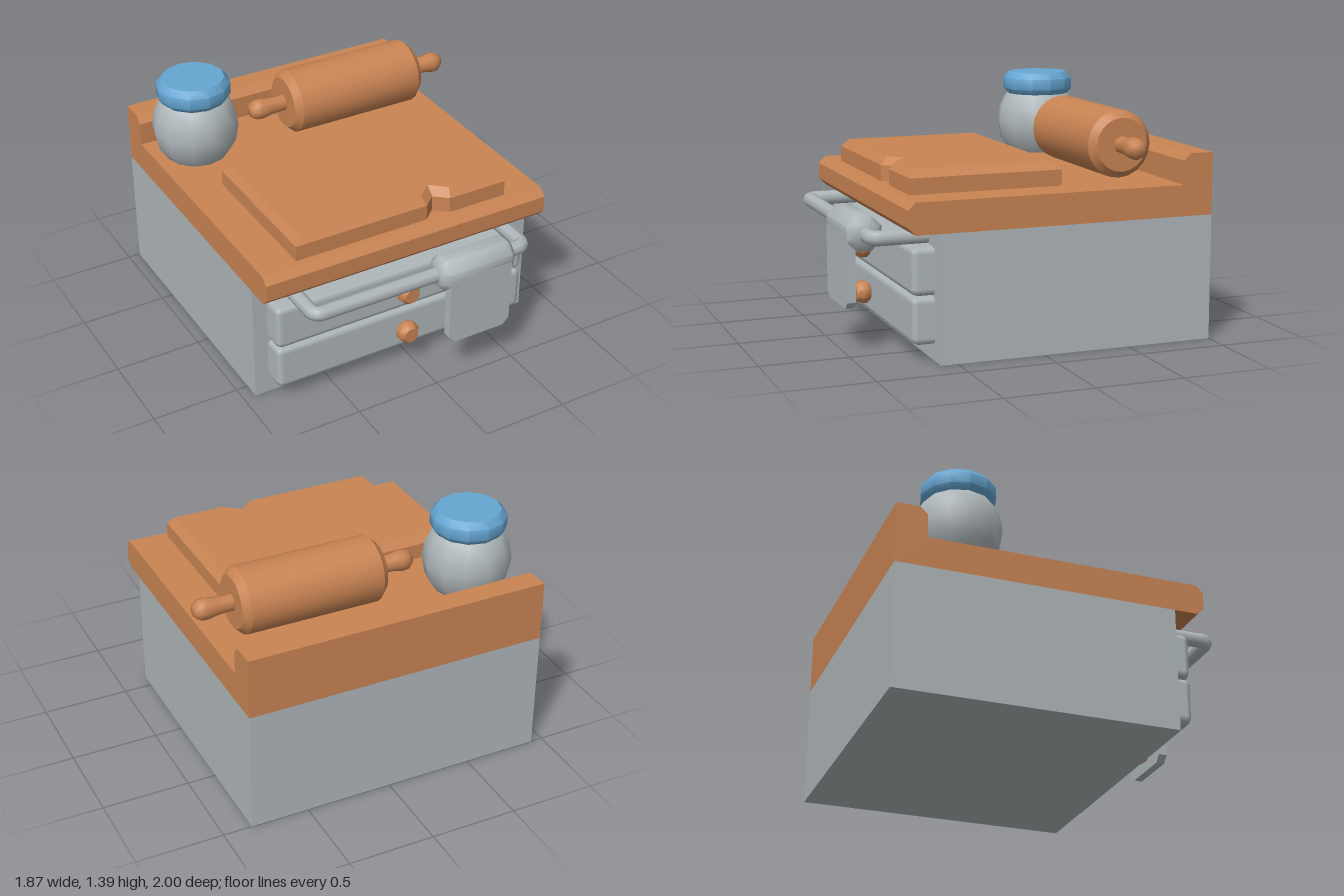
import * as THREE from 'three';
import { toCreasedNormals } from 'three/addons/utils/BufferGeometryUtils.js';
import { RoundedBoxGeometry } from 'three/addons/geometries/RoundedBoxGeometry.js';

const material = (name, color) => {
  const m = new THREE.MeshStandardMaterial({ color });
  m.name = name;
  return m;
};

const shapeOf = (pts) => new THREE.Shape(pts.map(([x, y]) => new THREE.Vector2(x, y)));

// Turned solid along +y, from [radius, height] pairs listed bottom to top
function turned(pts, sides, crease = 0.9, turn = 0) {
  const g = new THREE.LatheGeometry(pts.map(([r, y]) => new THREE.Vector2(r, y)), sides);
  g.rotateY(turn);
  return toCreasedNormals(g, crease);
}

export function createModel() {
  const wood = material('wood', 0xc98453);
  const grey = material('pale grey', 0xafb7ba);
  const blue = material('lid blue', 0x66a6d2);
  const model = new THREE.Group();
  const midX = -0.0475, width = 1.765;

  function add(name, geometry, mat, x = 0, y = 0, z = 0, parent = model) {
    const mesh = new THREE.Mesh(geometry, mat);
    mesh.name = name;
    mesh.position.set(x, y, z);
    parent.add(mesh);
    return mesh;
  }

  // Cabinet
  add('cabinet', new THREE.BoxGeometry(width, 0.71, 1.595), grey, midX, 0.355, -0.2025);

  // Worktop with bevelled front edge and raised back ledge: profile of [-z, y]
  const top = new THREE.ExtrudeGeometry(shapeOf([
    [1, 0.71], [1, 1.06], [0.865, 1.06], [0.825, 1.02], [0.825, 0.885],
    [-0.73, 0.885], [-0.77, 0.845], [-0.77, 0.75], [-0.73, 0.71],
  ]), { depth: width, bevelEnabled: false });
  top.rotateY(Math.PI / 2);
  add('worktop', top, wood, midX - width / 2, 0, 0);

  // Chopping board with a V notch in its front edge: outline of [x, -z]
  const board = new THREE.ExtrudeGeometry(shapeOf([
    [-0.67, -0.65], [0.085, -0.65], [0.175, -0.57], [0.265, -0.65],
    [0.57, -0.65], [0.57, 0.15], [-0.67, 0.15],
  ]), { depth: 0.13, bevelSize: 0.04, bevelThickness: 0.045, bevelSegments: 1 });
  board.rotateX(-Math.PI / 2);
  add('choppingBoard', board, wood, 0, 0.845, 0);

  // Drawers and their knobs
  const knob = turned([
    [0, -0.01], [0.04, -0.01], [0.066, 0.022], [0.066, 0.055], [0.046, 0.085], [0, 0.085],
  ], 8, 0.9, Math.PI / 8);
  knob.rotateX(Math.PI / 2);
  for (const y of [0.2225, 0.49]) {
    add('drawer', new RoundedBoxGeometry(1.59, 0.265, 0.185, 1, 0.038), grey, -0.05, y, 0.6275);
    add('drawerKnob', knob, wood, -0.05, y, 0.72);
  }

  // Towel rail bent around two corners
  const rail = new THREE.CurvePath();
  const v = (x, z) => new THREE.Vector3(x, 0.665, z);
  const [x0, x1, z0, z1, bend] = [-0.712, 0.617, 0.57, 0.897, 0.05];
  rail.add(new THREE.LineCurve3(v(x0, z0), v(x0, z1 - bend)));
  rail.add(new THREE.QuadraticBezierCurve3(v(x0, z1 - bend), v(x0, z1), v(x0 + bend, z1)));
  rail.add(new THREE.LineCurve3(v(x0 + bend, z1), v(x1 - bend, z1)));
  rail.add(new THREE.QuadraticBezierCurve3(v(x1 - bend, z1), v(x1, z1), v(x1, z1 - bend)));
  rail.add(new THREE.LineCurve3(v(x1, z1 - bend), v(x1, z0)));
  add('towelRail', new THREE.TubeGeometry(rail, 120, 0.042, 8), grey);

  // Towel: fold over the rail and hanging sheet
  const fold = turned([
    [0, -0.235], [0.07, -0.235], [0.106, -0.198], [0.106, 0.198], [0.07, 0.235], [0, 0.235],
  ], 8, 0.9, Math.PI / 8);
  fold.rotateZ(-Math.PI / 2);
  add('towelFold', fold, grey, 0.27, 0.667, 0.901);
  const sheet = new THREE.ExtrudeGeometry(shapeOf([
    [0.07, 0.66], [0.07, 0.29], [0.11, 0.25], [0.427, 0.25], [0.467, 0.29], [0.467, 0.66],
  ]), { depth: 0.05, bevelEnabled: false });
  add('towelSheet', sheet, grey, 0, 0, 0.95);

  // Rolling pin lying along x
  const pin = new THREE.Group();
  pin.name = 'rollingPin';
  pin.position.set(0.28, 1.108, -0.505);
  model.add(pin);
  const barrel = turned([
    [0, -0.43], [0.15, -0.43], [0.188, -0.39], [0.188, 0.39], [0.15, 0.43], [0, 0.43],
  ], 20, 0.6);
  barrel.rotateZ(-Math.PI / 2);
  add('pinBarrel', barrel, wood, 0, 0, 0, pin);
  const handle = turned([
    [0.05, 0.41], [0.047, 0.47], [0.052, 0.53], [0.062, 0.58],
    [0.058, 0.62], [0.035, 0.647], [0, 0.652],
  ], 8, 1.1);
  handle.rotateZ(-Math.PI / 2);
  for (const turn of [0, Math.PI]) add('pinHandle', handle, wood, 0, 0, 0, pin).rotation.y = turn;

  // Jar and lid
  add('jar', turned([
    [0, 0.897], [0.18, 0.897], [0.23, 0.97], [0.25, 1.075], [0.235, 1.17], [0.2, 1.24], [0.17, 1.27],
  ], 12, 0.8), grey, -0.685, 0, -0.58);
  add('jarLid', turned([
    [0, 1.252], [0.185, 1.252], [0.213, 1.285], [0.213, 1.35], [0.18, 1.387], [0, 1.387],
  ], 12, 0.8), blue, -0.685, 0, -0.58);

  return model;
}
